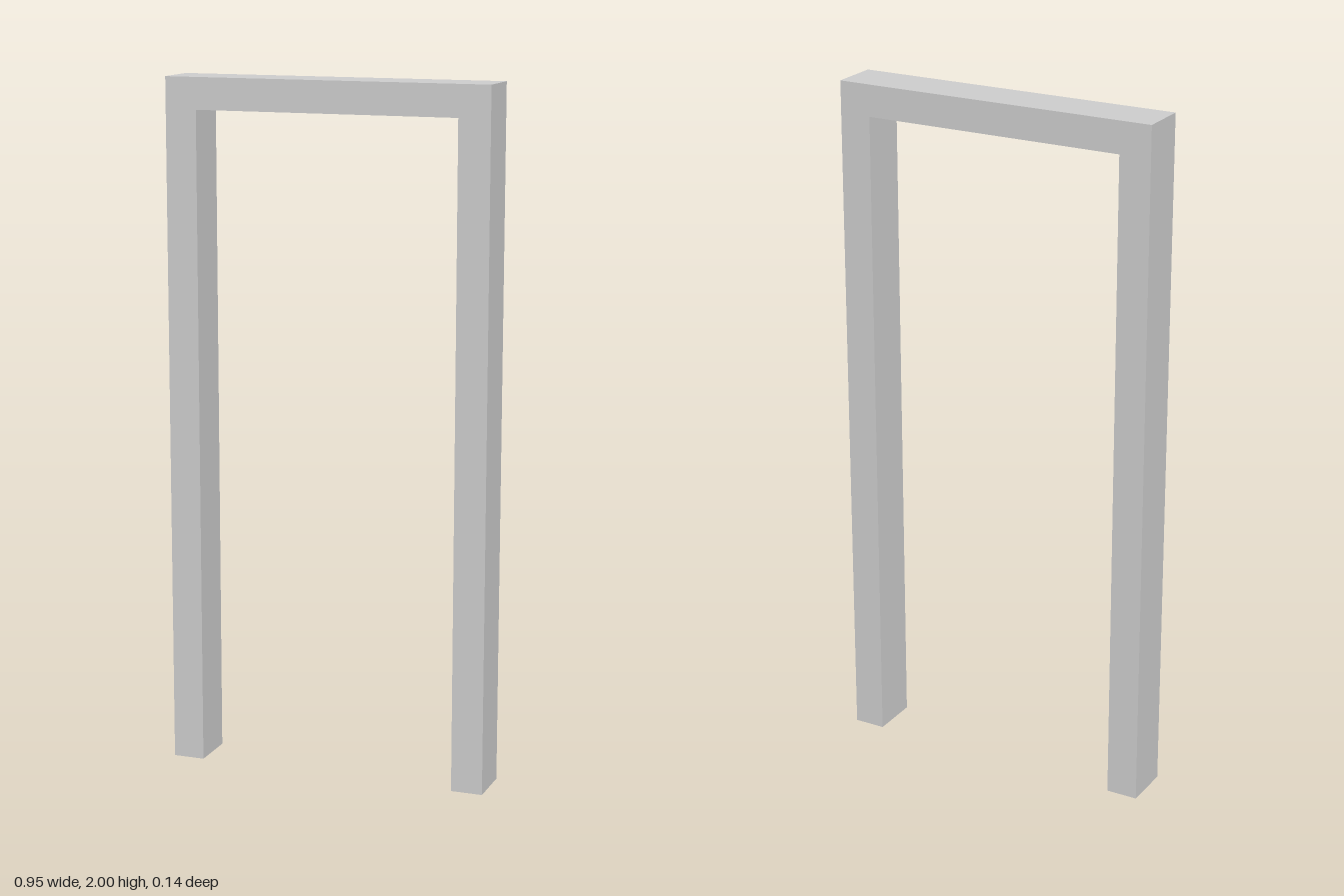
import * as THREE from 'three';

const HALF_WIDTH = 0.476, HEIGHT = 2, DEPTH = 0.142;
const INNER_HALF = 0.384, INNER_TOP = 1.909;

// Keep every triangle that does not lie flat on the ground, leaving the post ends open.
function openBottom(geometry) {
  const source = geometry.index ? geometry.toNonIndexed() : geometry;
  const p = source.attributes.position;
  const kept = [];
  for (let i = 0; i < p.count; i += 3) {
    const onGround = [0, 1, 2].every((k) => Math.abs(p.getY(i + k)) < 1e-5);
    if (onGround) continue;
    for (let k = 0; k < 3; k++) kept.push(p.getX(i + k), p.getY(i + k), p.getZ(i + k));
  }
  const result = new THREE.BufferGeometry();
  result.setAttribute('position', new THREE.Float32BufferAttribute(kept, 3));
  result.computeVertexNormals();
  return result;
}

export function createModel() {
  const group = new THREE.Group();
  group.name = 'doorFrame';

  // Two posts and a header in one continuous outline
  const outline = new THREE.Shape([
    [-HALF_WIDTH, 0], [-INNER_HALF, 0], [-INNER_HALF, INNER_TOP], [INNER_HALF, INNER_TOP],
    [INNER_HALF, 0], [HALF_WIDTH, 0], [HALF_WIDTH, HEIGHT], [-HALF_WIDTH, HEIGHT],
  ].map(([x, y]) => new THREE.Vector2(x, y)));

  const solid = new THREE.ExtrudeGeometry(outline, { depth: DEPTH, bevelEnabled: false });
  solid.translate(0, 0, -DEPTH / 2);

  // Hollow casing, open under both posts
  const material = new THREE.MeshStandardMaterial({
    color: 0xcccccc, flatShading: true, side: THREE.DoubleSide,
  });
  const casing = new THREE.Mesh(openBottom(solid), material);
  casing.name = 'frameCasing';
  group.add(casing);

  return group;
}
